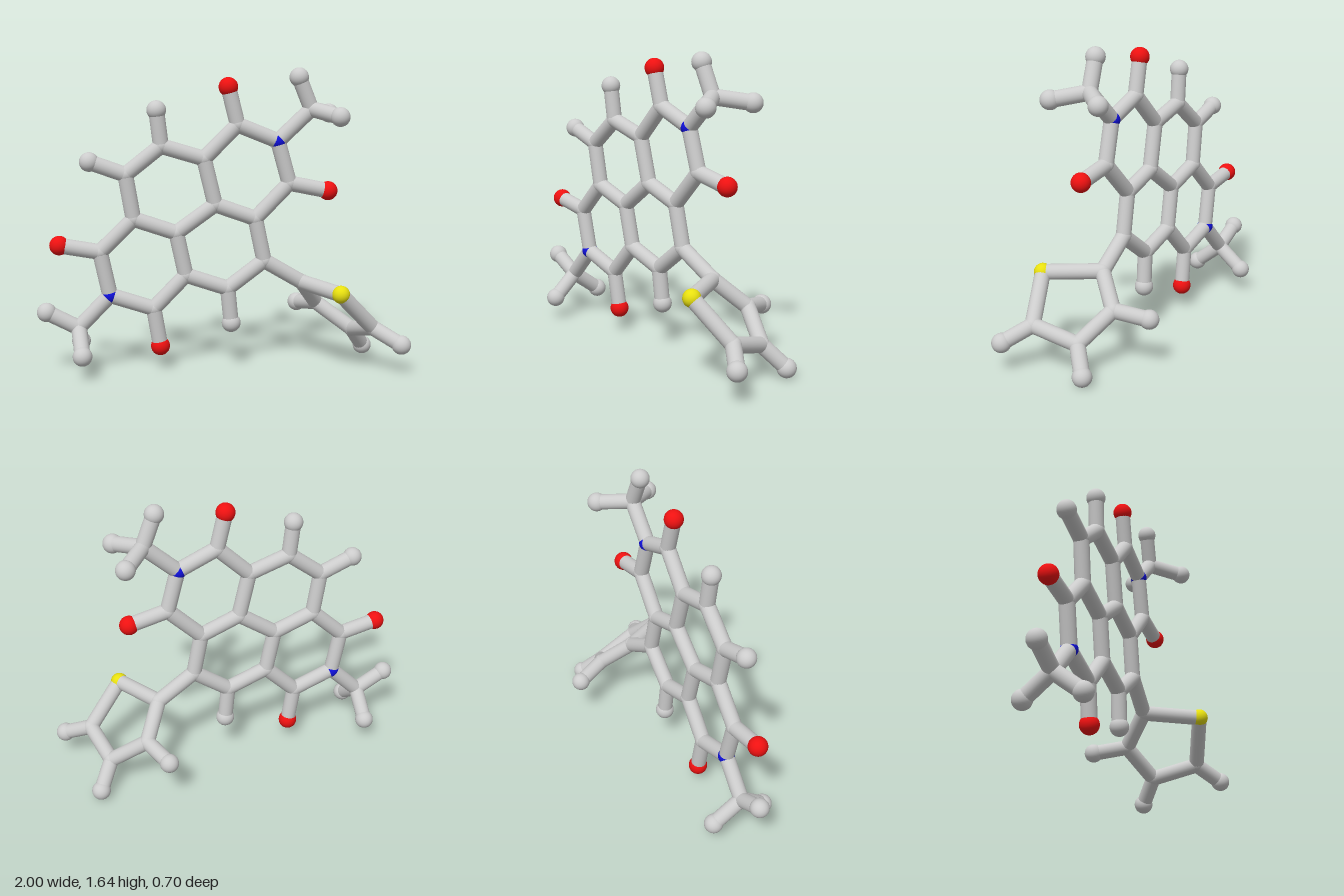
import * as THREE from 'three';

const BOND_RADIUS = 0.042;
const STYLES = {
  carbon: { radius: 0.044, color: 0xcccccc },
  hydrogen: { radius: 0.052, color: 0xcccccc },
  nitrogen: { radius: 0.046, color: 0x1010dd },
  oxygen: { radius: 0.052, color: 0xee1111 },
  sulfur: { radius: 0.048, color: 0xe8e010 },
};

// The fused rings lie in one slightly tilted plane
const planeZ = (x, y) => 0.05 - 0.052 * x + 0.028 * y;

// name: [element, x, y, z]; without z the atom lies in the ring plane
const ATOMS = {
  // fused rings
  a: ['carbon', 0.08, 1.34], b: ['carbon', -0.10, 1.16], c: ['carbon', -0.33, 1.23],
  d: ['carbon', -0.52, 1.08], e: ['carbon', -0.48, 0.84], f: ['carbon', -0.25, 0.76],
  g: ['carbon', -0.04, 0.91], h: ['carbon', 0.18, 0.83], i: ['carbon', 0.365, 1.02],
  j: ['carbon', -0.66, 0.665], k: ['carbon', -0.375, 0.345], l: ['carbon', -0.20, 0.525],
  m: ['carbon', 0.03, 0.445], n: ['carbon', 0.23, 0.595],
  n1: ['nitrogen', 0.30, 1.25], n2: ['nitrogen', -0.61, 0.425],
  // ring substituents
  o1: ['oxygen', 0.03, 1.54], o2: ['oxygen', 0.58, 0.975],
  o3: ['oxygen', -0.875, 0.705], o4: ['oxygen', -0.34, 0.133],
  hc: ['hydrogen', -0.353, 1.42], hd: ['hydrogen', -0.71, 1.15], hm: ['hydrogen', 0.05, 0.25],
  // upper methyl
  p: ['carbon', 0.48, 1.42, 0.065], p1: ['hydrogen', 0.41, 1.59, 0.08],
  p2: ['hydrogen', 0.61, 1.385, 0.215], p3: ['hydrogen', 0.605, 1.39, -0.095],
  // lower methyl
  q: ['carbon', -0.78, 0.25, 0.097], q1: ['hydrogen', -0.95, 0.34, 0.105],
  q2: ['hydrogen', -0.757, 0.13, 0.247], q3: ['hydrogen', -0.775, 0.135, -0.063],
  // five-sided ring
  t1: ['carbon', 0.445, 0.465, 0.025], t2: ['carbon', 0.55, 0.315, -0.128],
  t3: ['carbon', 0.745, 0.175, -0.05], t4: ['carbon', 0.81, 0.24, 0.195],
  s: ['sulfur', 0.612, 0.45, 0.297],
  h2: ['hydrogen', 0.468, 0.28, -0.3], h3: ['hydrogen', 0.828, 0.053, -0.15],
  h4: ['hydrogen', 0.947, 0.165, 0.288],
};

// Each chain joins its neighbouring atoms
const CHAINS = [
  'a b c d e f g h i n1 a', 'b g', 'e j n2 k l f', 'l m n h',
  'a o1', 'i o2', 'j o3', 'k o4', 'c hc', 'd hd', 'm hm',
  'n1 p p1', 'p2 p p3', 'n2 q q1', 'q2 q q3',
  'n t1 t2 t3 t4 s t1', 't2 h2', 't3 h3', 't4 h4',
];

export function createModel() {
  const model = new THREE.Group();
  model.name = 'molecule';
  const atoms = new THREE.Group();
  atoms.name = 'atoms';
  const bonds = new THREE.Group();
  bonds.name = 'bonds';
  model.add(atoms, bonds);

  const kits = {};
  for (const [element, { radius, color }] of Object.entries(STYLES)) {
    kits[element] = {
      geometry: new THREE.SphereGeometry(radius, 32, 20),
      material: new THREE.MeshStandardMaterial({ color }),
    };
  }

  // Balls
  const points = {};
  for (const [key, [element, x, y, z = planeZ(x, y)]] of Object.entries(ATOMS)) {
    const ball = new THREE.Mesh(kits[element].geometry, kits[element].material);
    ball.name = element + 'Atom';
    ball.position.set(x, y, z);
    points[key] = ball.position;
    atoms.add(ball);
  }

  // Sticks
  const stickGeometry = new THREE.CylinderGeometry(BOND_RADIUS, BOND_RADIUS, 1, 24);
  const up = new THREE.Vector3(0, 1, 0);
  for (const chain of CHAINS) {
    const keys = chain.split(' ');
    for (let i = 1; i < keys.length; i++) {
      const from = points[keys[i - 1]], to = points[keys[i]];
      const along = to.clone().sub(from);
      const stick = new THREE.Mesh(stickGeometry, kits.carbon.material);
      stick.name = 'bond';
      stick.position.copy(from).lerp(to, 0.5);
      stick.scale.y = along.length();
      stick.quaternion.setFromUnitVectors(up, along.normalize());
      bonds.add(stick);
    }
  }
  return model;
}
